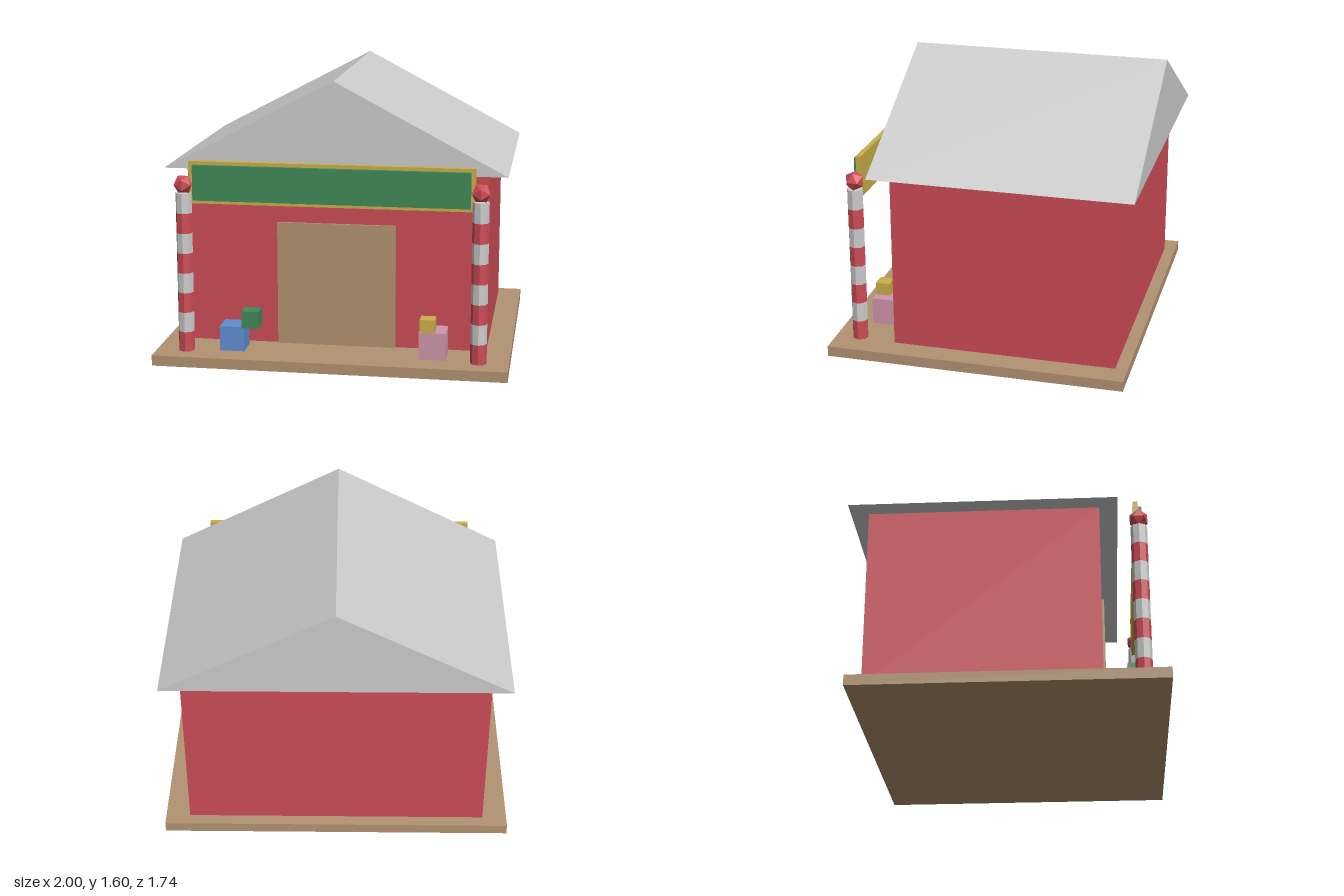
import * as THREE from 'three';

const mat = (name, color) => {
  const m = new THREE.MeshStandardMaterial({ color });
  m.name = name;
  return m;
};

export function createModel() {
  const group = new THREE.Group();
  const red = mat('red', 0xcd4c56);
  const grey = mat('snow grey', 0xcccccc);
  const wood = mat('wood', 0xb29371);
  const green = mat('green', 0x3f8a58);
  const gold = mat('gold', 0xcab04a);
  const blue = mat('blue', 0x5f8fd3);
  const pink = mat('pink', 0xcf96ab);

  const add = (name, geometry, material, x, y, z, parent = group) => {
    const mesh = new THREE.Mesh(geometry, material);
    mesh.name = name;
    mesh.position.set(x, y, z);
    parent.add(mesh);
    return mesh;
  };
  // Box given by its lower and upper limits on each axis
  const box = (name, material, [x0, x1], [y0, y1], [z0, z1]) =>
    add(name, new THREE.BoxGeometry(x1 - x0, y1 - y0, z1 - z0), material,
      (x0 + x1) / 2, (y0 + y1) / 2, (z0 + z1) / 2);

  // Building
  box('base', wood, [-1, 1], [0, 0.06], [-0.84, 0.87]);
  box('walls', red, [-0.86, 0.86], [0.06, 1.09], [-0.77, 0.515]);
  box('door', wood, [-0.34, 0.34], [0.06, 0.775], [0.505, 0.53]);

  // Solid gable roof
  const gable = new THREE.Shape([
    new THREE.Vector2(-0.97, 1.09),
    new THREE.Vector2(0.97, 1.09),
    new THREE.Vector2(0, 1.6),
  ]);
  add('roof', new THREE.ExtrudeGeometry(gable, { depth: 1.485, bevelEnabled: false }), grey, 0, 0, -0.87);

  // Sign board with its frame
  box('signFrame', gold, [-0.8, 0.8], [0.915, 1.155], [0.702, 0.73]);
  box('signBoard', green, [-0.775, 0.775], [0.935, 1.135], [0.725, 0.75]);

  // Striped posts with faceted balls on top
  const bands = 8, bandHeight = 0.915 / bands;
  const bandGeo = new THREE.CylinderGeometry(0.046, 0.046, bandHeight, 8).toNonIndexed();
  bandGeo.computeVertexNormals();
  const ballGeo = new THREE.IcosahedronGeometry(0.057, 0);
  for (const [side, x] of [['left', 0.83], ['right', -0.83]]) {
    const post = new THREE.Group();
    post.name = side + 'Post';
    post.position.set(x, 0.06, 0.73);
    group.add(post);
    for (let i = 0; i < bands; i++) {
      add('postBand', bandGeo, i % 2 ? grey : red, 0, (i + 0.5) * bandHeight, 0, post);
    }
    add('postBall', ballGeo, red, 0, 0.962, 0, post);
  }

  // Gift boxes
  box('blueGift', blue, [-0.64, -0.5], [0.06, 0.203], [0.58, 0.72]);
  box('greenGift', green, [-0.507, -0.41], [0.205, 0.303], [0.65, 0.748]);
  box('pinkGift', pink, [0.495, 0.647], [0.06, 0.217], [0.567, 0.72]);
  box('goldGift', gold, [0.5, 0.585], [0.207, 0.29], [0.632, 0.717]);

  return group;
}
